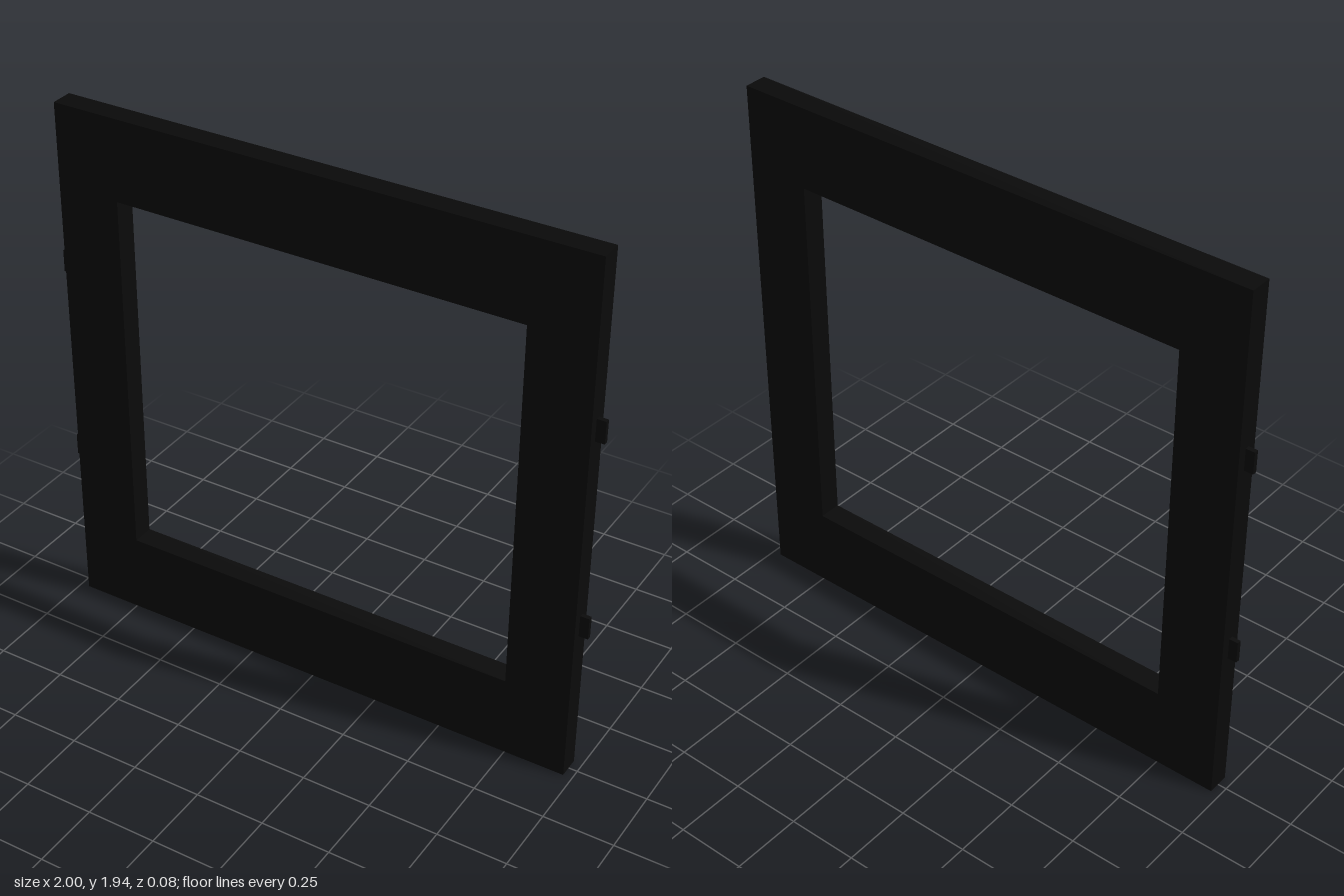
import * as THREE from 'three';

const black = new THREE.MeshStandardMaterial({ color: 0x0a0a0a });

// Axis-aligned rectangle outline
function rectangle(path, x0, y0, x1, y1) {
  path.moveTo(x0, y0);
  path.lineTo(x1, y0);
  path.lineTo(x1, y1);
  path.lineTo(x0, y1);
  path.closePath();
  return path;
}

export function createModel() {
  const group = new THREE.Group();
  group.name = 'windowFrame';

  // Square frame with wider top and bottom rails
  const depth = 0.08;
  const outline = rectangle(new THREE.Shape(), -0.968, 0, 0.968, 1.936);
  outline.holes.push(rectangle(new THREE.Path(), -0.738, 0.297, 0.738, 1.642));
  const geometry = new THREE.ExtrudeGeometry(outline, { depth, bevelEnabled: false });
  geometry.translate(0, 0, -depth / 2);
  const frame = new THREE.Mesh(geometry, black);
  frame.name = 'frame';
  group.add(frame);

  // Thin mounting tabs, two on each side
  const tabGeometry = new THREE.BoxGeometry(0.042, 0.08, 0.016);
  for (const [side, sign] of [['left', 1], ['right', -1]]) {
    for (const [level, y] of [['Lower', 0.6], ['Upper', 1.337]]) {
      const tab = new THREE.Mesh(tabGeometry, black);
      tab.name = `${side}${level}Tab`;
      tab.position.set(sign * 0.979, y, 0);
      group.add(tab);
    }
  }
  return group;
}
